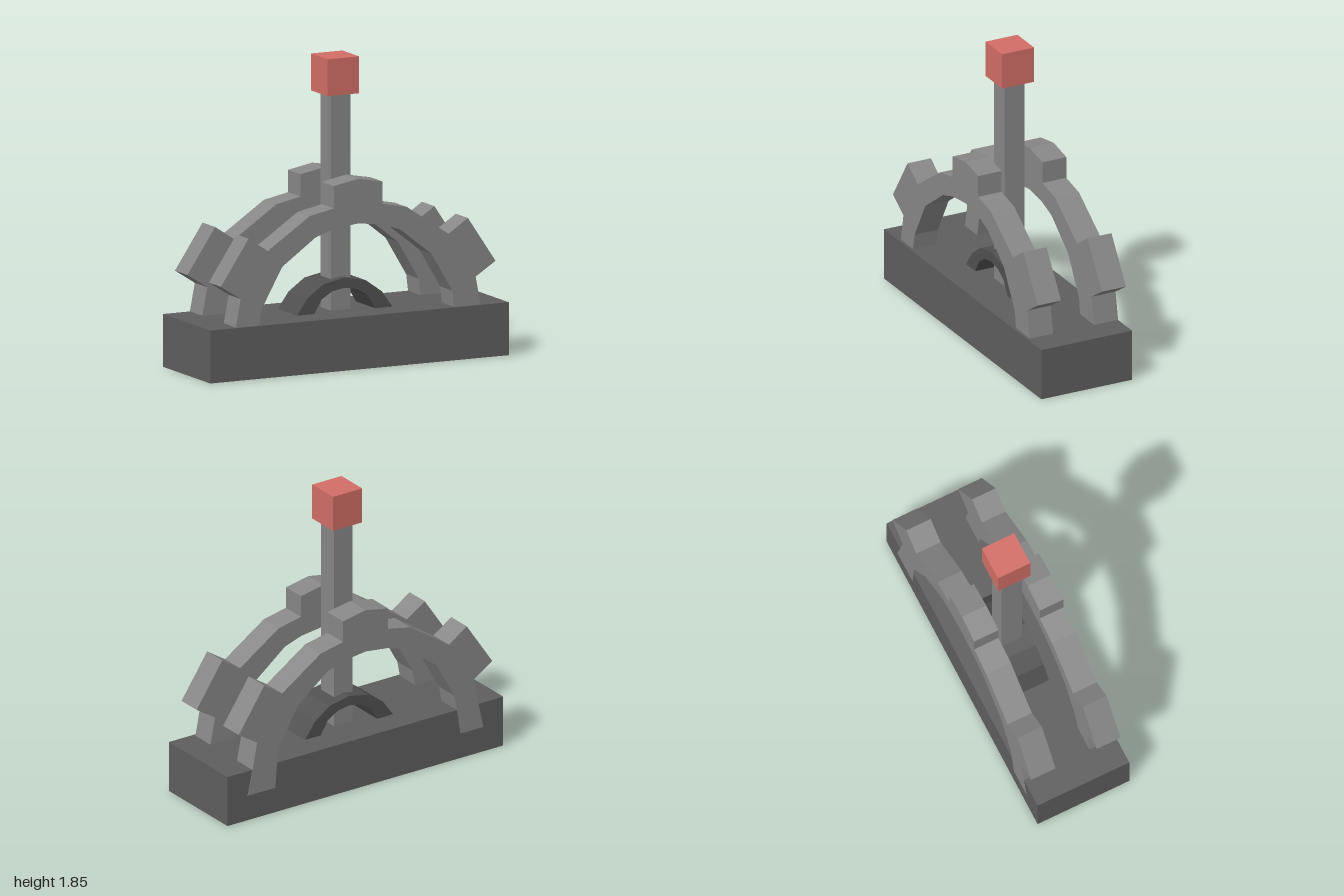
import * as THREE from 'three';

const paint = (color) => new THREE.MeshStandardMaterial({ color, flatShading: true });
const grey = paint(0x878787);
const darkGrey = paint(0x5e5e5e);
const deepGrey = paint(0x505050);
const red = paint(0xd26e66);

// Box given by its min and max corners
function box(name, [x0, y0, z0], [x1, y1, z1], material) {
  const mesh = new THREE.Mesh(new THREE.BoxGeometry(x1 - x0, y1 - y0, z1 - z0), material);
  mesh.position.set((x0 + x1) / 2, (y0 + y1) / 2, (z0 + z1) / 2);
  mesh.name = name;
  return mesh;
}

// Flat-sided arch: outer edge from right foot to left foot, inner edge back again
function arch(name, outer, inner, z0, z1, material) {
  const shape = new THREE.Shape([...outer, ...inner].map(([x, y]) => new THREE.Vector2(x, y)));
  const geometry = new THREE.ExtrudeGeometry(shape, { depth: z1 - z0, bevelEnabled: false });
  const mesh = new THREE.Mesh(geometry, material);
  mesh.position.z = z0;
  mesh.name = name;
  return mesh;
}

// Mirrors a half profile (foot to near the crown) across x = 0
function mirrored(half, crownY) {
  const left = half.map(([x, y]) => [-x, y]).reverse();
  return [...half, [0, crownY], ...left];
}

export function createModel() {
  const model = new THREE.Group();
  model.name = 'leverAssembly';

  // Base block
  model.add(box('base', [-1, 0, -0.305], [1, 0.32, 0.305], darkGrey));

  // Toothed arches, their feet sunk into the base
  const toothedEdge = mirrored([
    [0.855, 0.16], [0.82, 0.32], [0.787, 0.49],
    [0.92, 0.575], [0.735, 0.85], [0.605, 0.765],
    [0.325, 0.952], [0.163, 0.985], [0.163, 1.12],
  ], 1.15);
  const innerEdge = [
    [-0.69, 0.16], [-0.665, 0.32], [-0.645, 0.42], [-0.51, 0.66], [-0.285, 0.82], [-0.16, 0.86],
    [0, 0.88],
    [0.16, 0.86], [0.28, 0.82], [0.49, 0.655], [0.63, 0.42], [0.642, 0.32], [0.655, 0.16],
  ];
  model.add(arch('frontToothedArch', toothedEdge, innerEdge, 0.13, 0.287, grey));
  model.add(arch('backToothedArch', toothedEdge, innerEdge, -0.307, -0.145, grey));

  // Small pivot arch around the foot of the lever
  const pivotOuter = mirrored([[0.32, 0.32], [0.248, 0.42], [0.142, 0.495]], 0.523);
  const pivotInner = mirrored([[-0.205, 0.32], [-0.153, 0.405], [-0.083, 0.447]], 0.462);
  model.add(arch('pivotArch', pivotOuter, pivotInner, -0.135, 0.112, deepGrey));

  // Lever and its handle
  model.add(box('leverPost', [-0.066, 0.3, -0.075], [0.066, 1.65, 0.06], grey));
  model.add(box('leverHandle', [-0.106, 1.627, -0.12], [0.106, 1.85, 0.095], red));

  return model;
}
